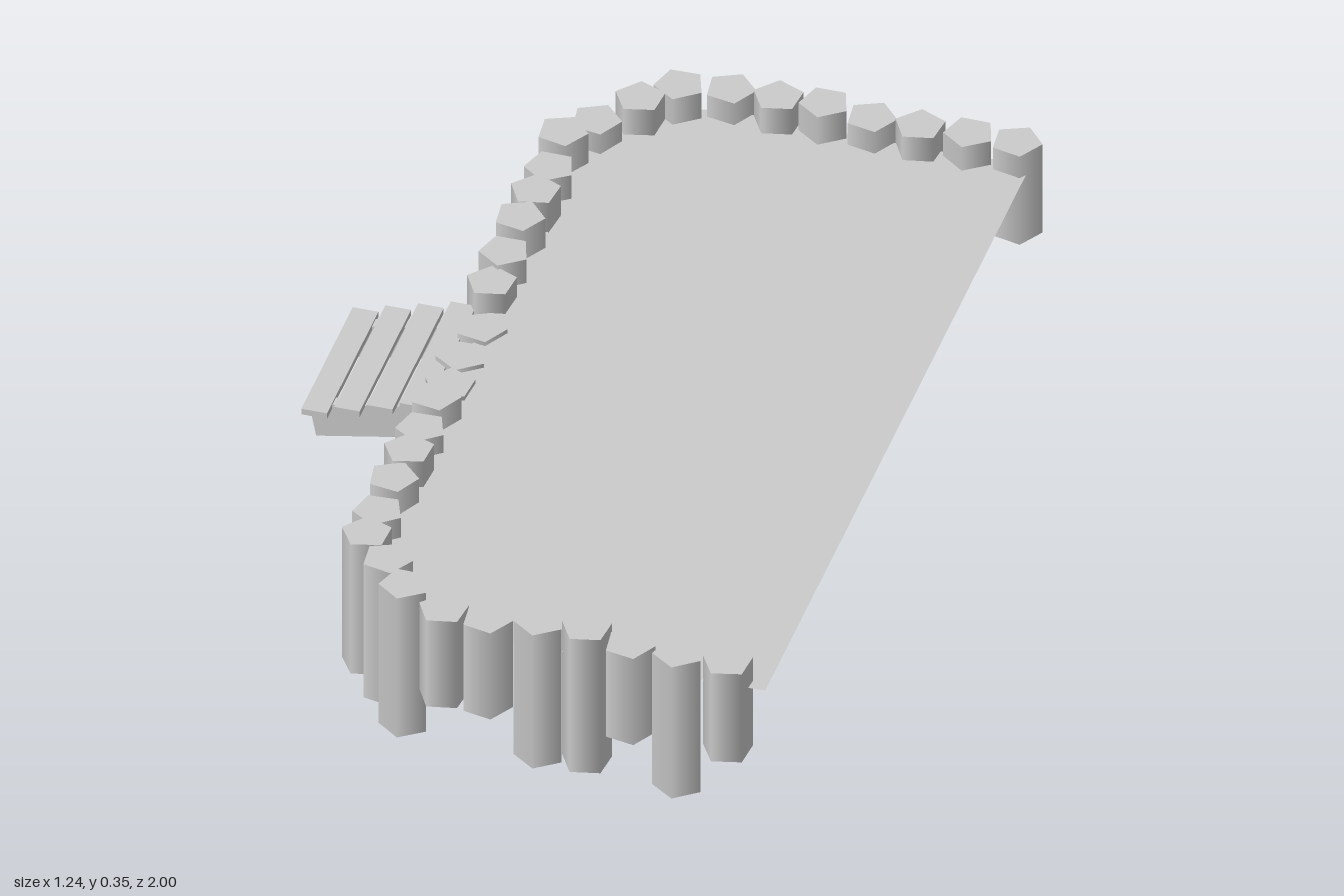
import * as THREE from 'three';

// Each log: x, z, bottom y, top y, in order round the three walled sides
const backLogs = [
  [0.565, -0.95, 0.11, 0.335], [0.465, -0.945, 0.12, 0.34], [0.36, -0.94, 0.12, 0.34],
  [0.255, -0.945, 0.105, 0.335], [0.155, -0.945, 0.01, 0.35], [0.055, -0.945, 0.005, 0.345],
  [-0.05, -0.955, 0.105, 0.335], [-0.15, -0.925, 0.005, 0.345], [-0.215, -0.86, 0.005, 0.345],
  [-0.285, -0.78, 0.1, 0.33],
];
const sideLogs = [
  [-0.33, -0.69, 0.015, 0.355], [-0.325, -0.585, 0.12, 0.34], [-0.325, -0.48, 0.015, 0.355],
  [-0.33, -0.385, 0.015, 0.355], [-0.33, -0.28, 0.12, 0.34], [-0.33, -0.185, 0.11, 0.33],
  [-0.32, -0.08, 0.065, 0.29], [-0.33, 0.025, 0.065, 0.29], [-0.325, 0.125, 0.085, 0.29],
  [-0.325, 0.23, 0.11, 0.335], [-0.325, 0.33, 0.1, 0.325], [-0.32, 0.435, 0.005, 0.345],
  [-0.325, 0.53, 0.005, 0.34], [-0.325, 0.635, 0.1, 0.33], [-0.32, 0.735, 0.015, 0.345],
];
const frontLogs = [
  [-0.25, 0.82, 0.015, 0.355], [-0.19, 0.895, 0, 0.355], [-0.095, 0.935, 0.12, 0.34],
  [0, 0.94, 0.12, 0.34], [0.11, 0.93, 0.01, 0.35], [0.21, 0.93, 0.015, 0.355],
  [0.305, 0.94, 0.12, 0.34], [0.41, 0.94, 0.005, 0.34], [0.515, 0.94, 0.115, 0.34],
];

export function createModel() {
  const model = new THREE.Group();
  model.name = 'logDeck';
  const material = new THREE.MeshStandardMaterial({ color: 0xcccccc });
  const thin = new THREE.MeshStandardMaterial({ color: 0xcccccc, side: THREE.DoubleSide });

  function add(parent, name, geometry, x, y, z, mat = material) {
    const mesh = new THREE.Mesh(geometry, mat);
    mesh.name = name;
    mesh.position.set(x, y, z);
    parent.add(mesh);
    return mesh;
  }

  // Five-sided upright logs, each turned a little differently
  const rows = { backLogs, sideLogs, frontLogs };
  for (const [name, logs] of Object.entries(rows)) {
    const row = new THREE.Group();
    row.name = name;
    logs.forEach(([x, z, bottom, top], i) => {
      const geometry = new THREE.CylinderGeometry(0.054, 0.054, top - bottom, 5);
      add(row, 'log', geometry, x, (top + bottom) / 2, z).rotation.y = i * 2.1 + 0.4;
    });
    model.add(row);
  }

  // Thin deck whose edge runs through the log centres, straight on the open side
  const outline = [...backLogs, ...sideLogs, ...frontLogs].map(([x, z]) => new THREE.Vector2(x, z));
  outline.unshift(new THREE.Vector2(0.595, -0.945));
  outline.push(new THREE.Vector2(0.595, 0.937));
  const deck = new THREE.ShapeGeometry(new THREE.Shape(outline)).rotateX(Math.PI / 2);
  // Face the sheet upwards
  const index = deck.index;
  for (let i = 0; i < index.count; i += 3) {
    const a = index.getX(i);
    index.setX(i, index.getX(i + 2));
    index.setX(i + 2, a);
  }
  deck.computeVertexNormals();
  add(model, 'deck', deck, 0, 0.28, 0, thin);

  // Entry steps: four treads over two sloping stringers
  const steps = new THREE.Group();
  steps.name = 'entrySteps';
  for (let i = 0; i < 4; i++) {
    add(steps, 'tread', new THREE.BoxGeometry(0.055, 0.014, 0.365), -0.592 + i * 0.07, 0.212 + i * 0.02, 0.023);
  }
  for (const z of [-0.127, 0.155]) {
    add(steps, 'stringer', new THREE.BoxGeometry(0.32, 0.077, 0.028), -0.449, 0.197, z).rotation.z = 0.19;
  }
  model.add(steps);
  return model;
}
